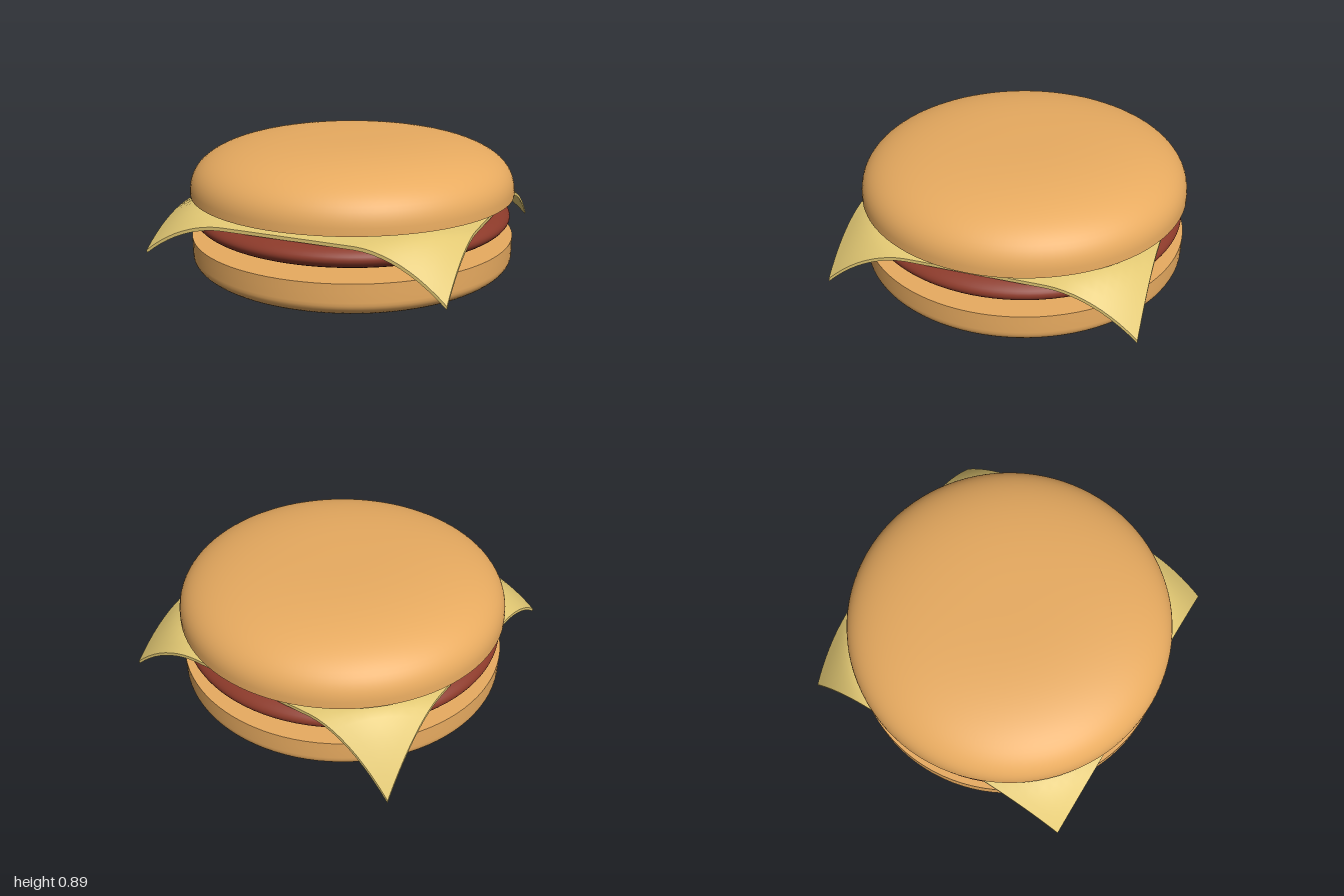
import * as THREE from 'three';

const BUN = 0xe8ab60, PATTY = 0x8c3a2a, CHEESE = 0xe2c873;
const SEGMENTS = 96;

function mesh(name, geometry, color) {
  const m = new THREE.Mesh(geometry, new THREE.MeshStandardMaterial({ color }));
  m.name = name;
  return m;
}

// Rounded dome profile from the rim (y) to the axis (y + height); a negative height bulges downward.
function domeProfile(radius, y, height, p, q, steps = 28) {
  const points = [];
  for (let i = 0; i <= steps; i++) {
    const r = i === steps ? 0 : Math.cos((i / steps) * Math.PI / 2);
    points.push(new THREE.Vector2(radius * r, y + height * Math.pow(1 - Math.pow(r, p), q)));
  }
  return points;
}

// Flat cut face of a bun half
function cutFace(name, y, up) {
  const disc = mesh(name, new THREE.CircleGeometry(1, SEGMENTS), BUN);
  disc.rotation.x = up ? -Math.PI / 2 : Math.PI / 2;
  disc.position.y = y;
  return disc;
}

// Square slice whose edges sag a little and whose corners hang down by different amounts
function cheeseGeometry() {
  const half = 0.91, thickness = 0.02;
  const geometry = new THREE.BoxGeometry(half * 2, thickness, half * 2, 36, 1, 36);
  const pos = geometry.attributes.position;
  for (let i = 0; i < pos.count; i++) {
    const x = pos.getX(i), z = pos.getZ(i);
    const edge = Math.pow(Math.abs(x) ** 6 + Math.abs(z) ** 6, 1 / 6);
    const corner = Math.max(0, Math.hypot(x, z) - 1);
    const sag = x > 0 ? 1 : z > 0 ? 0.77 : 1.53;
    const drop = 0.3 * Math.max(0, edge - 0.72) + 1.4 * sag * Math.pow(corner, 1.5);
    pos.setY(i, pos.getY(i) + 0.543 - drop);
  }
  geometry.computeVertexNormals();
  return geometry;
}

export function createModel() {
  const group = new THREE.Group();
  group.name = 'cheeseburger';

  // Bottom bun: rounded underside, straight side, flat top
  const bottomBun = new THREE.Group();
  bottomBun.name = 'bottomBun';
  const under = domeProfile(1, 0.18, -0.18, 2.7, 0.42).reverse();
  under.push(new THREE.Vector2(1, 0.24), new THREE.Vector2(1, 0.29));
  bottomBun.add(
    mesh('bottomBunCrust', new THREE.LatheGeometry(under, SEGMENTS), BUN),
    cutFace('bottomBunCutFace', 0.29, true)
  );

  // Patty: flattened disc with a rounded rim
  const lower = domeProfile(0.98, 0.41, -0.125, 4, 0.5).reverse();
  const upper = domeProfile(0.98, 0.41, 0.12, 4, 0.5).slice(1);
  const patty = mesh('patty', new THREE.LatheGeometry([...lower, ...upper], SEGMENTS), PATTY);

  const cheese = mesh('cheeseSlice', cheeseGeometry(), CHEESE);

  // Top bun: dome over a flat underside
  const topBun = new THREE.Group();
  topBun.name = 'topBun';
  topBun.add(
    mesh('topBunCrust', new THREE.LatheGeometry(domeProfile(1, 0.55, 0.34, 3, 0.385), SEGMENTS), BUN),
    cutFace('topBunCutFace', 0.55, false)
  );

  group.add(bottomBun, patty, cheese, topBun);
  return group;
}
